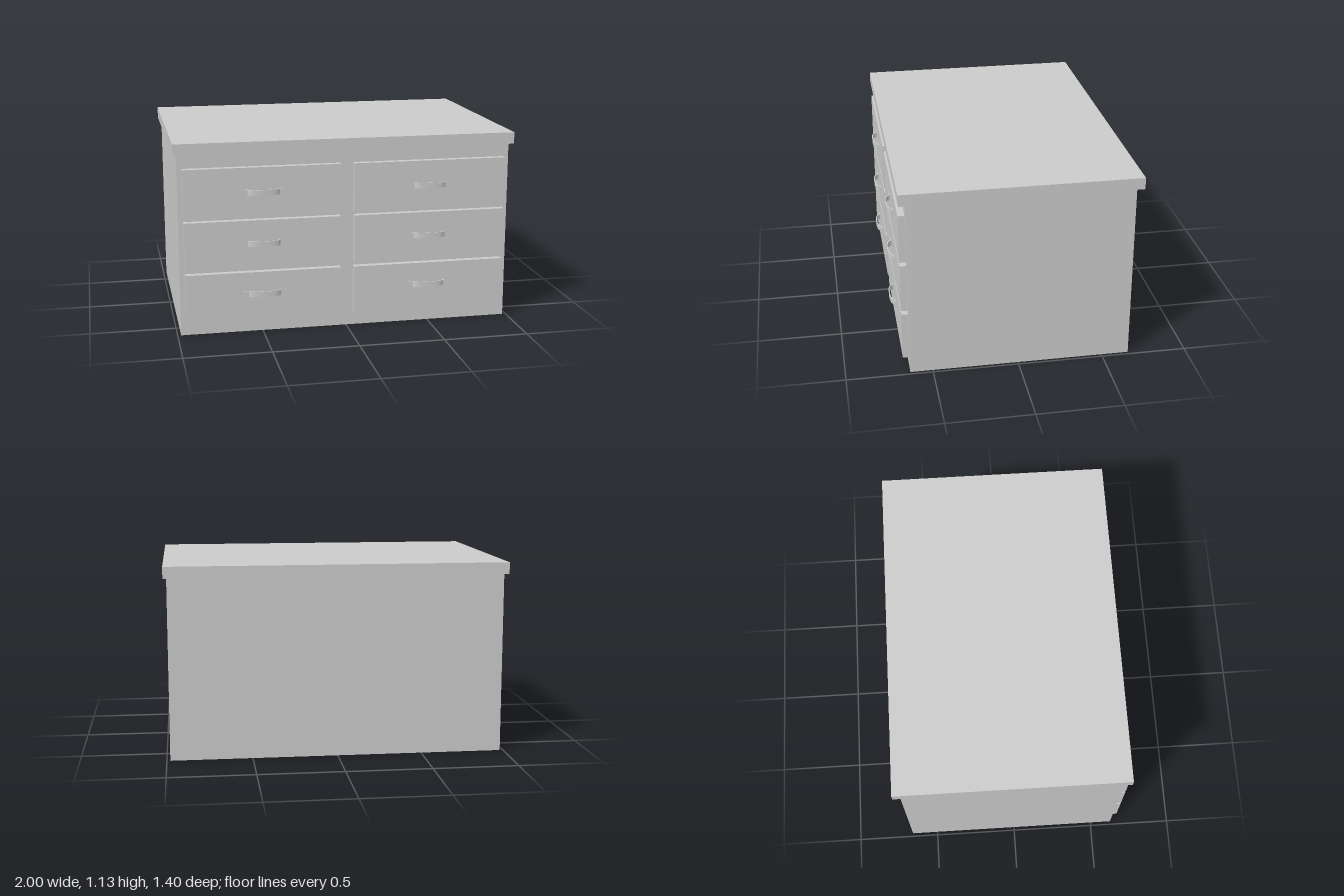
import * as THREE from 'three';
import { toCreasedNormals } from 'three/addons/utils/BufferGeometryUtils.js';

const grey = new THREE.MeshStandardMaterial({ color: 0xcccccc });

// Box given by its minimum and maximum corners
function box(name, [x0, y0, z0], [x1, y1, z1]) {
  const mesh = new THREE.Mesh(new THREE.BoxGeometry(x1 - x0, y1 - y0, z1 - z0), grey);
  mesh.position.set((x0 + x1) / 2, (y0 + y1) / 2, (z0 + z1) / 2);
  mesh.name = name;
  return mesh;
}

// Bowed strap pull with flat feet: a thin profile extruded over the strap's height
function handleGeometry() {
  const height = 0.032;
  const s = new THREE.Shape();
  s.moveTo(-0.125, 0);
  s.lineTo(-0.088, 0);
  s.bezierCurveTo(-0.083, 0.018, -0.065, 0.028, 0, 0.028);
  s.bezierCurveTo(0.065, 0.028, 0.083, 0.018, 0.088, 0);
  s.lineTo(0.125, 0);
  s.lineTo(0.125, 0.004);
  s.lineTo(0.094, 0.004);
  s.bezierCurveTo(0.09, 0.024, 0.07, 0.033, 0, 0.033);
  s.bezierCurveTo(-0.07, 0.033, -0.09, 0.024, -0.094, 0.004);
  s.lineTo(-0.125, 0.004);
  s.closePath();
  const g = new THREE.ExtrudeGeometry(s, { depth: height, bevelEnabled: false, curveSegments: 10 });
  g.translate(0, 0, -height / 2);
  g.rotateX(Math.PI / 2);
  return toCreasedNormals(g, 0.7);
}

export function createModel() {
  const model = new THREE.Group();
  model.name = 'dresser';

  // Carcass and overhanging top
  model.add(box('body', [-0.98, 0, -0.66], [0.98, 1.067, 0.63]));
  model.add(box('top', [-1, 1.067, -0.7], [1, 1.135, 0.668]));

  // Two columns of three drawers, each with a pull
  const pull = handleGeometry();
  for (const side of [-1, 1]) {
    for (let row = 0; row < 3; row++) {
      const y = 0.083 + row * 0.309;
      const drawer = new THREE.Group();
      drawer.name = 'drawer';
      drawer.add(box('drawerFront', [side * 0.495 - 0.455, y, 0.63], [side * 0.495 + 0.455, y + 0.286, 0.668]));
      const handle = new THREE.Mesh(pull, grey);
      handle.name = 'handle';
      handle.position.set(side * 0.491, 0.242 + row * 0.301, 0.668);
      drawer.add(handle);
      model.add(drawer);
    }
  }
  return model;
}
